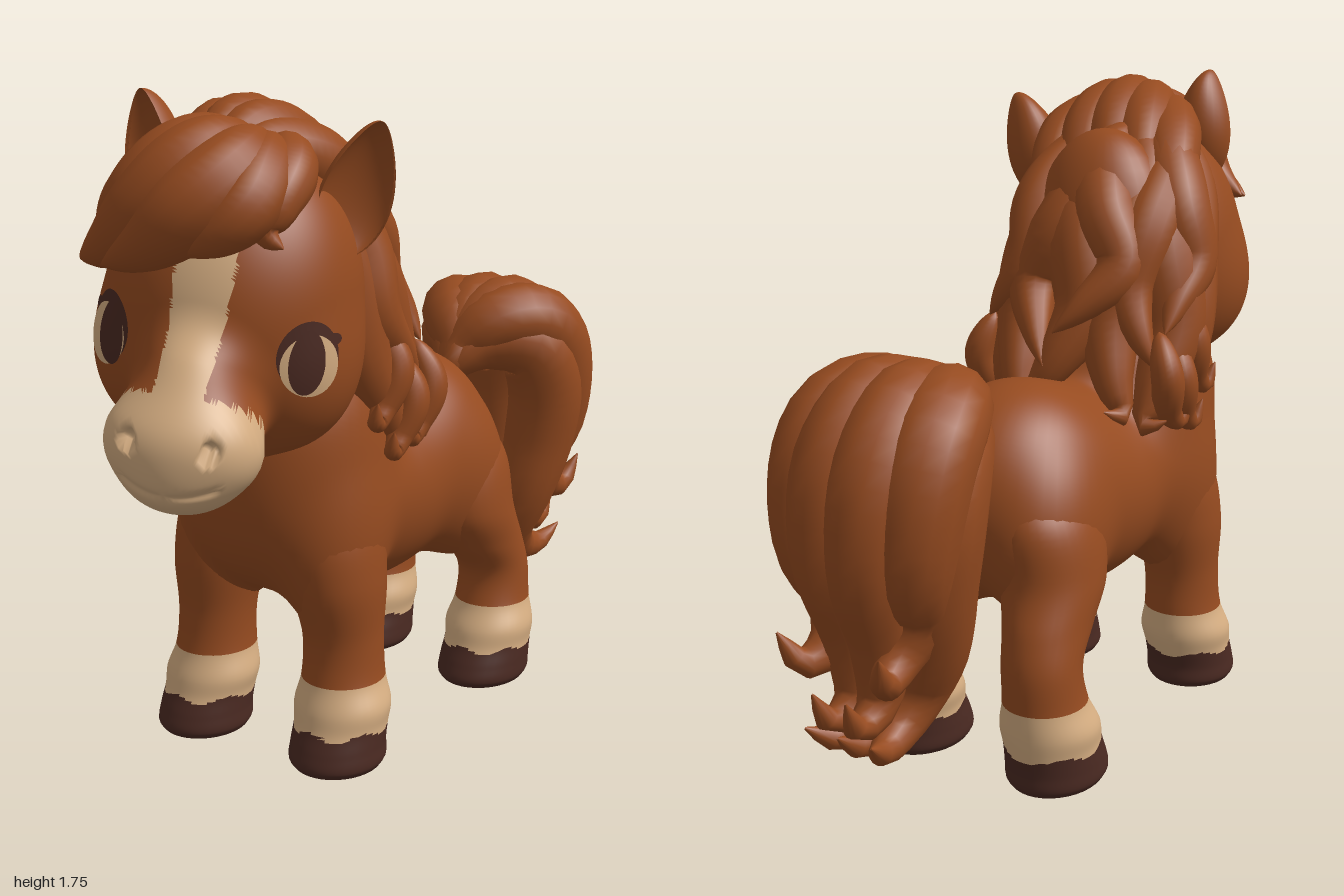
import * as THREE from 'three';
import { mergeVertices } from 'three/addons/utils/BufferGeometryUtils.js';

const material = (name, color) => Object.assign(new THREE.MeshStandardMaterial({ color }), { name });
const V = (x, y, z) => new THREE.Vector3(x, y, z);
const MID = -0.045; // centre line of the body

// Weld a geometry and give it smooth normals
function smooth(geo) {
  geo.deleteAttribute('normal');
  geo.deleteAttribute('uv');
  geo.clearGroups();
  const welded = mergeVertices(geo, 1e-5);
  welded.computeVertexNormals();
  return welded;
}

// Move every vertex by a rule
function warp(geo, rule) {
  const pos = geo.attributes.position, p = V(0, 0, 0);
  for (let i = 0; i < pos.count; i++) {
    rule(p.fromBufferAttribute(pos, i), i);
    pos.setXYZ(i, p.x, p.y, p.z);
  }
  return geo;
}

// Sort triangles into material groups by their centre point
function paint(geo, count, pick) {
  const lists = Array.from({ length: count }, () => []);
  const idx = geo.index.array, pos = geo.attributes.position;
  const c = V(0, 0, 0), q = V(0, 0, 0);
  for (let i = 0; i < idx.length; i += 3) {
    c.set(0, 0, 0);
    for (let j = 0; j < 3; j++) c.add(q.fromBufferAttribute(pos, idx[i + j]));
    lists[pick(c.divideScalar(3))].push(idx[i], idx[i + 1], idx[i + 2]);
  }
  geo.setIndex(lists.flat());
  let start = 0;
  lists.forEach((l, m) => { geo.addGroup(start, l.length, m); start += l.length; });
  return geo;
}

// Smoothly blended ellipsoids, each given as [x, y, z, rx, ry, rz]
const blend = (balls, k) => p => balls.reduce((d, [x, y, z, rx, ry, rz]) => {
  const a = (p.x - x) / rx, b = (p.y - y) / ry, c = (p.z - z) / rz;
  const k0 = Math.hypot(a, b, c), k1 = Math.hypot(a / rx, b / ry, c / rz) || 1e-6;
  const e = k0 * (k0 - 1) / k1, h = Math.max(k - Math.abs(d - e), 0) / k;
  return Math.min(d, e) - h * h * k / 4;
}, 10);

// Push a direction out to the blended surface
function project(field, dir, lift = 0) {
  const d = dir.clone().normalize(), p = V(0, 0, 0);
  let lo = 0, hi = 1.3;
  for (let i = 0; i < 26; i++) {
    const m = (lo + hi) / 2;
    if (field(p.copy(d).multiplyScalar(m)) < 0) lo = m; else hi = m;
  }
  return d.multiplyScalar(lo + lift);
}

function blob(field, pole, seg) {
  const geo = new THREE.SphereGeometry(1, seg, seg);
  geo.applyQuaternion(new THREE.Quaternion().setFromUnitVectors(V(0, 1, 0), pole.normalize()));
  return smooth(warp(geo, p => p.copy(project(field, p))));
}

// Tapered strand of hair along a curve
function lock(points, radius) {
  const n = 30, sides = 14, curve = new THREE.CatmullRomCurve3(points);
  const geo = new THREE.TubeGeometry(curve, n, radius, sides);
  warp(geo, (p, i) => {
    const t = Math.floor(i / (sides + 1)) / n, c = curve.getPointAt(t);
    const s = Math.pow(Math.max(0, Math.sin(Math.PI * Math.pow(t, 0.75))), 0.75);
    p.sub(c).multiplyScalar(Math.max(s, 0.02)).add(c);
  });
  return smooth(geo);
}

// Leg from elliptical rings [y, centre x, centre z, rx, rz]
function legGeometry(rings) {
  const centres = new THREE.CatmullRomCurve3(rings.map(r => V(r[1], r[0], r[2])));
  const radii = new THREE.CatmullRomCurve3(rings.map(r => V(r[3], r[0], r[4])));
  const geo = new THREE.CylinderGeometry(1, 1, 1, 36, 72);
  warp(geo, p => {
    const t = p.y + 0.5, c = centres.getPoint(t), r = radii.getPoint(t);
    p.set(c.x + p.x * r.x, Math.max(0, c.y), c.z + p.z * r.z);
  });
  return paint(smooth(geo), 3, c => {
    const wave = 0.008 * Math.sin(5 * Math.atan2(c.z - rings[0][2], c.x - rings[0][1]));
    return c.y < 0.105 + wave ? 0 : c.y < 0.23 + wave * 0.4 ? 1 : 2;
  });
}

export function createModel() {
  const model = new THREE.Group();
  model.name = 'pony';
  const coat = material('chestnut coat', 0x964b20);
  const cream = material('cream markings', 0xd6ae82);
  const dark = material('dark brown', 0x4b2a22);
  const add = (parent, name, geo, mat) => {
    const mesh = new THREE.Mesh(geo, mat);
    mesh.name = name;
    parent.add(mesh);
    return mesh;
  };
  const group = (name) => {
    const g = new THREE.Group();
    g.name = name;
    model.add(g);
    return g;
  };

  // Barrel, rump, chest and neck, around a centre at y 0.68
  const bodyField = blend([
    [0, -0.02, 0, 0.272, 0.285, 0.45],
    [0, 0.03, -0.225, 0.262, 0.285, 0.28],
    [0, 0.03, 0.265, 0.288, 0.285, 0.285],
    [0, 0.2, 0.3, 0.28, 0.3, 0.275],
    [0, 0.47, 0.33, 0.2, 0.3, 0.2],
    ...[-1, 1].flatMap(s => [
      [s * 0.14, -0.08, -0.31, 0.135, 0.22, 0.17],
      [s * 0.175, -0.1, 0.3, 0.125, 0.24, 0.15]]),
  ], 0.07);
  add(model, 'body', blob(bodyField, V(0, 1, 0), 90), coat).position.set(MID, 0.68, 0);

  // Legs with socks and hooves
  for (const s of [-1, 1]) {
    const side = s > 0 ? 'left' : 'right', f = s > 0 ? 0 : 0.045;
    add(model, side + 'FrontLeg', legGeometry([
      [0, MID + s * 0.218, 0.335 + f, 0.115, 0.125], [0.018, MID + s * 0.218, 0.335 + f, 0.125, 0.137],
      [0.06, MID + s * 0.217, 0.33 + f, 0.124, 0.132], [0.11, MID + s * 0.215, 0.315 + f, 0.124, 0.128],
      [0.16, MID + s * 0.212, 0.305 + f, 0.13, 0.127], [0.23, MID + s * 0.207, 0.295 + f, 0.11, 0.115],
      [0.34, MID + s * 0.203, 0.29 + f, 0.106, 0.11], [0.5, MID + s * 0.193, 0.3 + f * 0.5, 0.122, 0.14],
      [0.66, MID + s * 0.17, 0.3, 0.12, 0.15], [0.78, MID + s * 0.14, 0.3, 0.07, 0.09]]), [dark, cream, coat]);
    add(model, side + 'BackLeg', legGeometry([
      [0, MID + s * 0.215, -0.372, 0.115, 0.14], [0.018, MID + s * 0.215, -0.372, 0.125, 0.153],
      [0.06, MID + s * 0.215, -0.38, 0.125, 0.147], [0.11, MID + s * 0.215, -0.395, 0.123, 0.138],
      [0.16, MID + s * 0.213, -0.405, 0.128, 0.133], [0.23, MID + s * 0.21, -0.423, 0.108, 0.116],
      [0.33, MID + s * 0.205, -0.43, 0.103, 0.108], [0.42, MID + s * 0.195, -0.385, 0.11, 0.133],
      [0.53, MID + s * 0.175, -0.327, 0.13, 0.155], [0.68, MID + s * 0.15, -0.32, 0.125, 0.16],
      [0.8, MID + s * 0.12, -0.32, 0.07, 0.1]]), [dark, cream, coat]);
  }

  // Head, turned and tilted to its left
  const head = group('head');
  head.position.set(0.036, 1.25, 0.55);
  head.rotation.set(0, 0.46, -0.12, 'YXZ');
  const skull = blend([
    [0, 0, 0, 0.31, 0.395, 0.31],
    [0.16, -0.12, 0.02, 0.16, 0.2, 0.2], [-0.16, -0.12, 0.02, 0.16, 0.2, 0.2],
    [0, -0.15, 0.22, 0.14, 0.16, 0.18],
    [0, -0.265, 0.325, 0.184, 0.145, 0.145],
    [0, -0.34, 0.34, 0.1, 0.07, 0.1],
  ], 0.06);
  const nose = project(skull, V(0.098, -0.24, 0.45));
  const face = p => {
    let d = skull(p);
    if (p.z > 0.38 && Math.abs(p.x) < 0.11) // mouth crease
      d += 0.006 * Math.exp(-(((p.y + 0.355 - 2 * p.x * p.x) / 0.01) ** 2));
    const nostril = Math.hypot(Math.abs(p.x) - nose.x, p.y - nose.y, p.z - nose.z);
    return Math.max(d, 0.026 - nostril);
  };
  const faceGeo = blob(face, V(0, -0.28, 0.36), 140);
  paint(faceGeo, 2, c => {
    const muzzle = Math.hypot(c.x / 0.21, (c.y + 0.29) / 0.168, (c.z - 0.35) / 0.185) < 1;
    const blaze = c.z > 0.05 && c.y > -0.2 && c.y < 0.3 && Math.abs(c.x) < 0.058 + 0.05 * Math.max(0, c.y + 0.1);
    return muzzle || blaze ? 1 : 0;
  });
  add(head, 'face', faceGeo, [coat, cream]);

  for (const s of [-1, 1]) {
    const side = s > 0 ? 'left' : 'right';
    // Eyes laid on the curve of the face, glancing a little to the left
    const d0 = V(s * 0.235, -0.063, 0.205).normalize();
    const u = V(0, 1, 0).cross(d0).normalize(), v = d0.clone().cross(u);
    const decal = (name, ox, oy, rx, ry, lift, mat) => {
      const geo = warp(new THREE.RingGeometry(0.001, 1, 36, 6), p => {
        const dir = d0.clone().multiplyScalar(0.32)
          .addScaledVector(u, ox + p.x * rx).addScaledVector(v, oy + p.y * ry);
        p.copy(project(skull, dir, lift));
      });
      add(head, side + name, smooth(geo), mat);
    };
    decal('EyeLine', 0, 0.014, 0.084, 0.082, 0.003, dark);
    decal('Lash', s * 0.072, 0.05, 0.024, 0.014, 0.004, dark);
    decal('EyeWhite', s * 0.003, -0.006, 0.076, 0.07, 0.006, cream);
    decal('Pupil', s > 0 ? -0.008 : 0.026, 0.002, 0.046, 0.073, 0.009, dark);

    // Cupped ears turned outward
    const ear = warp(new THREE.SphereGeometry(1, 28, 28), p => {
      const t = (p.y + 1) / 2, taper = 1 - 0.5 * t * t;
      p.set(p.x * 0.1 * taper, p.y * 0.165, (p.z > 0 ? -0.55 : 1) * p.z * 0.095 + 0.03);
    });
    const earMesh = add(head, side + 'Ear', smooth(ear), coat);
    earMesh.position.set(s * 0.24 + 0.022, 0.315, 0.01);
    earMesh.rotation.set(0, s * 0.55, -s * 0.2, 'ZYX');
  }

  // Mane: a core covered by two layers of locks down the neck
  const mane = group('mane');
  const ball = (name, parent, x, y, z, rx, ry, rz) => {
    const m = add(parent, name, new THREE.SphereGeometry(1, 32, 24), coat);
    m.position.set(x, y, z);
    m.scale.set(rx, ry, rz);
  };
  ball('maneCore', mane, MID, 1.26, 0.22, 0.22, 0.35, 0.18);
  ball('crownHair', mane, 0.04, 1.52, 0.47, 0.18, 0.18, 0.21);
  const levels = [[1.62, 0.07, 0.1, 0.41], [1.48, 0.15, 0.13, 0.36], [1.3, 0.205, 0.145, 0.26],
    [1.12, 0.25, 0.15, 0.21], [0.98, 0.26, 0.17, 0.15], [0.89, 0.28, 0.2, 0.13], [0.91, 0.32, 0.23, 0.12]];
  const maneLock = (deg, drop, spread, radius, sway, rows) => add(mane, 'maneLock', lock(levels.slice(0, rows).map(([y, rx, rz, cz], i) => {
    const a = deg * Math.PI / 180 + sway * Math.sin(i * 1.6);
    return V(MID + rx * spread * Math.sin(a), 1.62 - (1.62 - y) * drop, cz - rz * spread * Math.cos(a));
  }), radius), coat);
  for (let i = 0; i < 7; i++) {
    const deg = -102 + i * 34, out = Math.abs(Math.sin(deg * Math.PI / 180));
    maneLock(deg, 0.95 + 0.12 * out, 1, 0.105, i % 2 ? 0.16 : -0.16, 7);
    if (i < 6) maneLock(deg + 17, i % 2 ? 0.85 : 0.72, 1.05, 0.09, i % 2 ? -0.25 : 0.25, 6);
  }
  // Curls hanging at each side of the neck
  for (const s of [-1, 1]) for (const [z, y] of [[0.06, 0.88], [0.14, 0.86], [0.21, 0.95]])
    add(mane, 'sideCurl', lock([V(MID + s * 0.26, y + 0.22, z), V(MID + s * 0.3, y + 0.1, z - 0.02),
      V(MID + s * 0.285, y, z + 0.02), V(MID + s * 0.295, y - 0.03, z + 0.06), V(MID + s * 0.315, y + 0.03, z + 0.08)], 0.045), coat);
  // Locks over the crown
  for (let i = -2; i <= 2; i++)
    add(mane, 'crownLock', lock([V(0.06 + i * 0.04, 1.6, 0.68), V(0.04 + i * 0.055, 1.665 - 0.012 * i * i, 0.54),
      V(i * 0.085, 1.61 - 0.012 * i * i, 0.37), V(MID + i * 0.095, 1.44, 0.24), V(MID + i * 0.1, 1.26, 0.17)], 0.085), coat);

  // Forelock swept across the brow
  const forelock = group('forelock');
  for (const [r, ...pts] of [
    [0.09, [0.1, 1.65, 0.56], [0.05, 1.61, 0.72], [-0.02, 1.52, 0.8], [-0.1, 1.43, 0.8], [-0.2, 1.38, 0.77]],
    [0.1, [0.14, 1.65, 0.58], [0.11, 1.6, 0.74], [0.04, 1.51, 0.82], [-0.06, 1.42, 0.85], [-0.18, 1.37, 0.84]],
    [0.1, [0.16, 1.65, 0.58], [0.19, 1.58, 0.72], [0.15, 1.51, 0.81], [0.06, 1.43, 0.86], [-0.07, 1.37, 0.88]],
    [0.085, [0.17, 1.64, 0.56], [0.23, 1.57, 0.68], [0.25, 1.51, 0.75], [0.22, 1.46, 0.8], [0.13, 1.41, 0.85]],
    [0.07, [0.17, 1.64, 0.52], [0.25, 1.58, 0.6], [0.28, 1.51, 0.68], [0.28, 1.45, 0.71], [0.32, 1.42, 0.7]],
  ]) add(forelock, 'forelockLock', lock(pts.map(p => V(...p)), r), coat);

  // Tail: arched outer locks over an inner layer, with curled tips
  const tail = group('tail');
  const x = -0.025;
  for (const k of [-3, -1, 1, 3]) {
    const f = k / 3, up = Math.abs(k) === 1 ? 0 : 0.13, inset = 0.05 * f * f;
    add(tail, 'outerTailLock', lock([V(x, 0.87, -0.43), V(x, 0.94, -0.51), V(x + f * 0.08, 1.02, -0.6),
      V(x + f * 0.14, 1.04 - 0.03 * f * f, -0.72), V(x + f * 0.155, 0.92, -0.85 + inset), V(x + f * 0.145, 0.7, -0.89 + inset),
      V(x + f * 0.12, 0.5 + up * 0.5, -0.845 + inset), V(x + f * 0.1, 0.34 + up, -0.85), V(x + f * 0.12, 0.31 + up, -0.93),
      V(x + f * 0.15, 0.4 + up, -0.985)], 0.115), coat);
  }
  for (const f of [-1, 0, 1])
    add(tail, 'innerTailLock', lock([V(x, 0.87, -0.44), V(x + f * 0.04, 0.95, -0.55), V(x + f * 0.13, 0.95, -0.68),
      V(x + f * 0.15, 0.82, -0.755), V(x + f * 0.13, 0.64, -0.76), V(x + f * 0.1, 0.46, -0.725),
      V(x + f * 0.06, 0.34, -0.725), V(x + f * 0.05, 0.26, -0.79), V(x + f * 0.07, 0.24, -0.88), V(x + f * 0.1, 0.29, -0.96)], 0.12), coat);
  return model;
}
